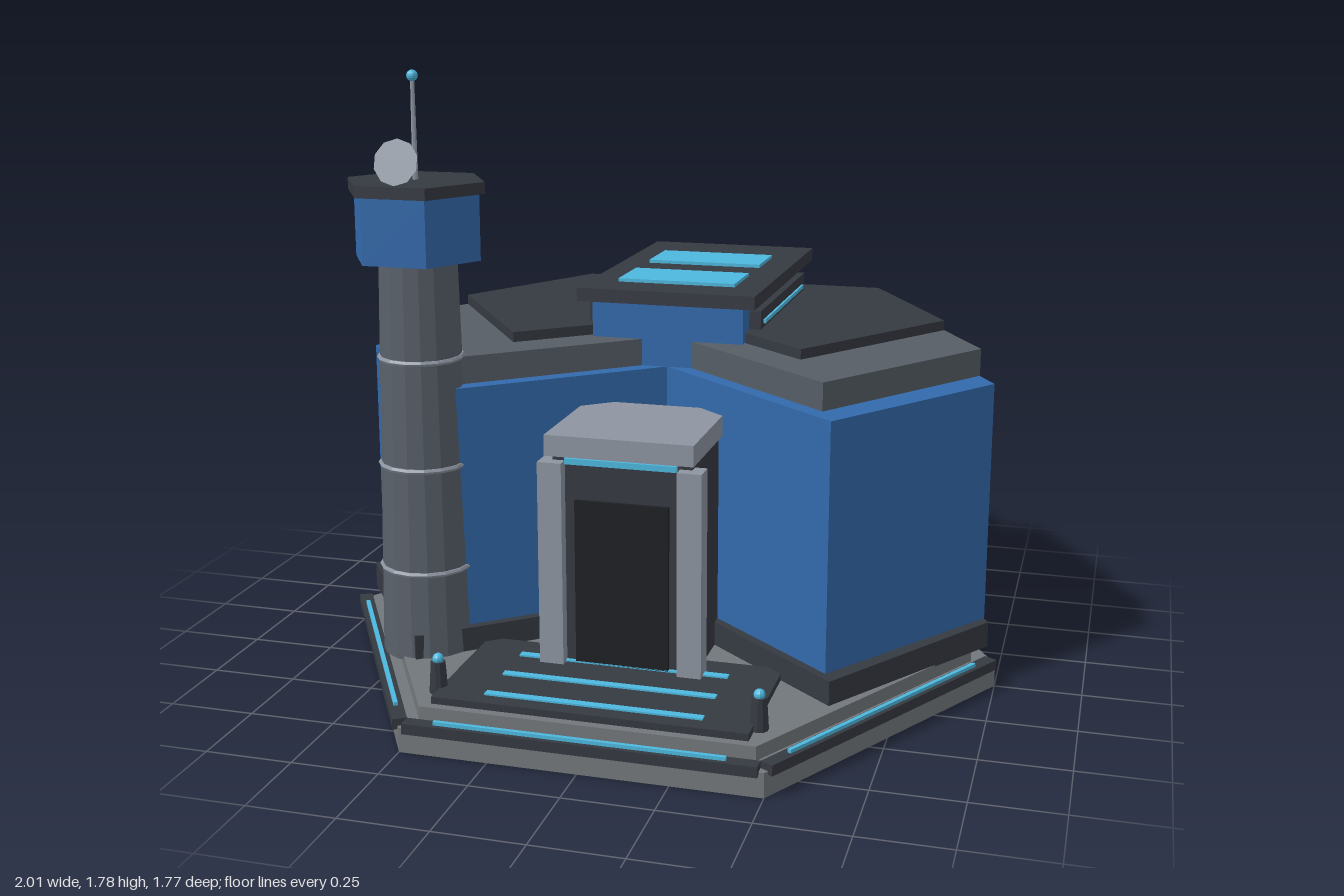
import * as THREE from 'three';

const mat = (color) => new THREE.MeshStandardMaterial({ color, flatShading: true });
const M = {
  base: mat(0x72777b), dark: mat(0x353941), black: mat(0x1d2024), blue: mat(0x3269ab),
  rim: mat(0x565d66), tower: mat(0x59606a), light: mat(0x8d95a1), glow: mat(0x4db8de),
};

export function createModel() {
  const model = new THREE.Group();

  const add = (parent, name, geometry, material, x = 0, y = 0, z = 0) => {
    const mesh = new THREE.Mesh(geometry, material);
    mesh.name = name;
    mesh.position.set(x, y, z);
    parent.add(mesh);
    return mesh;
  };
  // box given by its extents
  const box = (parent, name, material, [x0, x1], [y0, y1], [z0, z1]) =>
    add(parent, name, new THREE.BoxGeometry(x1 - x0, y1 - y0, z1 - z0), material,
      (x0 + x1) / 2, (y0 + y1) / 2, (z0 + z1) / 2);
  // upright cylinder between two heights
  const column = (parent, name, material, rBottom, rTop, y0, y1, sides, x = 0, z = 0) =>
    add(parent, name, new THREE.CylinderGeometry(rTop, rBottom, y1 - y0, sides), material, x, (y0 + y1) / 2, z);
  // six-sided prism with corners on the x axis
  const hex = (parent, name, material, r, y0, y1) => {
    const mesh = column(parent, name, material, r, r, y0, y1, 6);
    mesh.rotation.y = Math.PI / 6;
    return mesh;
  };
  // mirrored plan with a front notch: notch z, front corner, side corner, back corner
  const chevron = (name, material, y0, y1, notch, front, side, back) => {
    const half = [front, side, back];
    const plan = [[0, notch], ...half, ...half.map(([x, z]) => [-x, z]).reverse()];
    const shape = new THREE.Shape(plan.map(([x, z]) => new THREE.Vector2(x, -z)));
    const geometry = new THREE.ExtrudeGeometry(shape, { depth: y1 - y0, bevelEnabled: false });
    geometry.rotateX(-Math.PI / 2);
    return add(model, name, geometry, material, 0, y0, 0);
  };

  // hexagonal base
  hex(model, 'base', M.base, 1, 0, 0.07);
  hex(model, 'baseStep', M.base, 0.93, 0.07, 0.11);

  // dark kerbs with light strips on the three front edges
  for (const turn of [-1, 0, 1]) {
    const kerb = new THREE.Group();
    kerb.name = 'kerb';
    kerb.rotation.y = turn * Math.PI / 3;
    box(kerb, 'kerbBar', M.dark, [-0.485, 0.485], [0.06, 0.09], [0.84, 0.88]);
    box(kerb, 'kerbLight', M.glow, [-0.4, 0.4], [0.09, 0.1], [0.855, 0.867]);
    model.add(kerb);
  }

  // winged building, stepping inwards towards the roof
  chevron('plinth', M.dark, 0.105, 0.18, 0.005, [0.6, 0.51], [0.972, -0.04], [0.496, -0.862]);
  chevron('walls', M.blue, 0.11, 0.89, -0.03, [0.58, 0.46], [0.957, -0.07], [0.5, -0.866]);
  chevron('roofRim', M.rim, 0.89, 0.97, -0.093, [0.54, 0.365], [0.907, -0.16], [0.5, -0.866]);
  chevron('roof', M.dark, 0.97, 1.0, -0.25, [0.43, 0.115], [0.773, -0.39], [0.5, -0.866]);

  // raised roof room
  box(model, 'roofRoom', M.blue, [-0.23, 0.23], [0.885, 1.08], [-0.86, -0.028]);
  box(model, 'roofRoomEave', M.dark, [-0.27, 0.27], [1.08, 1.12], [-0.89, 0]);
  for (const z of [-0.66, -0.32])
    box(model, 'skylight', M.glow, [-0.18, 0.18], [1.12, 1.13], [z, z + 0.19]);

  for (const s of [-1, 1]) {
    const span = (a, b) => (s > 0 ? [a, b] : [-b, -a]);
    // side vents of the roof room
    box(model, 'roofVent', M.dark, span(0.23, 0.265), [1.0, 1.055], [-0.78, -0.11]);
    box(model, 'roofVentLight', M.glow, span(0.262, 0.272), [1.012, 1.024], [-0.735, -0.15]);
    // strip standing on each rear side wall
    const strip = add(model, 'wallStrip', new THREE.BoxGeometry(0.06, 0.72, 0.04), M.dark, s * 0.705, 0.48, -0.527);
    strip.rotation.y = s * Math.PI / 6;
    // entrance pillars
    box(model, 'doorPillar', M.light, span(0.165, 0.235), [0.13, 0.72], [0.41, 0.475]);
    // bollards
    column(model, 'bollard', M.dark, 0.026, 0.02, 0.11, 0.2, 10, s * 0.45, 0.7);
    add(model, 'bollardLamp', new THREE.SphereGeometry(0.016, 10, 8), M.glow, s * 0.45, 0.207, 0.7);
  }

  // entrance
  box(model, 'porch', M.dark, [-0.2, 0.2], [0.11, 0.74], [0.1, 0.44]);
  box(model, 'door', M.black, [-0.135, 0.135], [0.13, 0.61], [0.43, 0.452]);
  box(model, 'doorLight', M.glow, [-0.16, 0.16], [0.715, 0.732], [0.43, 0.46]);
  box(model, 'canopy', M.light, [-0.213, 0.213], [0.74, 0.8], [0.08, 0.477]);

  // entrance platform with light strips
  box(model, 'platform', M.dark, [-0.44, 0.44], [0.11, 0.13], [0.34, 0.78]);
  for (const z of [0.44, 0.58, 0.72])
    box(model, 'platformLight', M.glow, [-0.305, 0.305], [0.13, 0.135], [z - 0.012, z + 0.012]);

  // lookout tower
  const tower = new THREE.Group();
  tower.name = 'tower';
  tower.position.set(-0.615, 0, 0.367);
  model.add(tower);
  column(tower, 'towerShaft', M.tower, 0.135, 0.11, 0.1, 1.25, 16);
  for (const y of [0.36, 0.665, 0.975]) {
    const r = 0.135 - 0.025 * (y - 0.1) / 1.15;
    const ring = add(tower, 'towerRing', new THREE.TorusGeometry(r, 0.008, 6, 16), M.light, 0, y, 0);
    ring.rotation.x = Math.PI / 2;
  }
  hex(tower, 'towerCabin', M.blue, 0.188, 1.255, 1.44);
  hex(tower, 'towerCap', M.dark, 0.205, 1.442, 1.475);

  // mast and dish
  column(tower, 'mast', M.light, 0.009, 0.006, 1.47, 1.75, 8);
  add(tower, 'mastLamp', new THREE.SphereGeometry(0.016, 12, 8), M.glow, 0, 1.76, 0);
  box(tower, 'dishArm', M.light, [-0.007, 0.007], [1.518, 1.532], [0, 0.11]);
  const dishShape = new THREE.ConeGeometry(0.065, 0.035, 10);
  dishShape.rotateX(-Math.PI / 2);
  const dish = add(tower, 'dish', dishShape, M.light, 0, 1.532, 0.113);
  dish.rotation.x = -0.27;

  return model;
}
